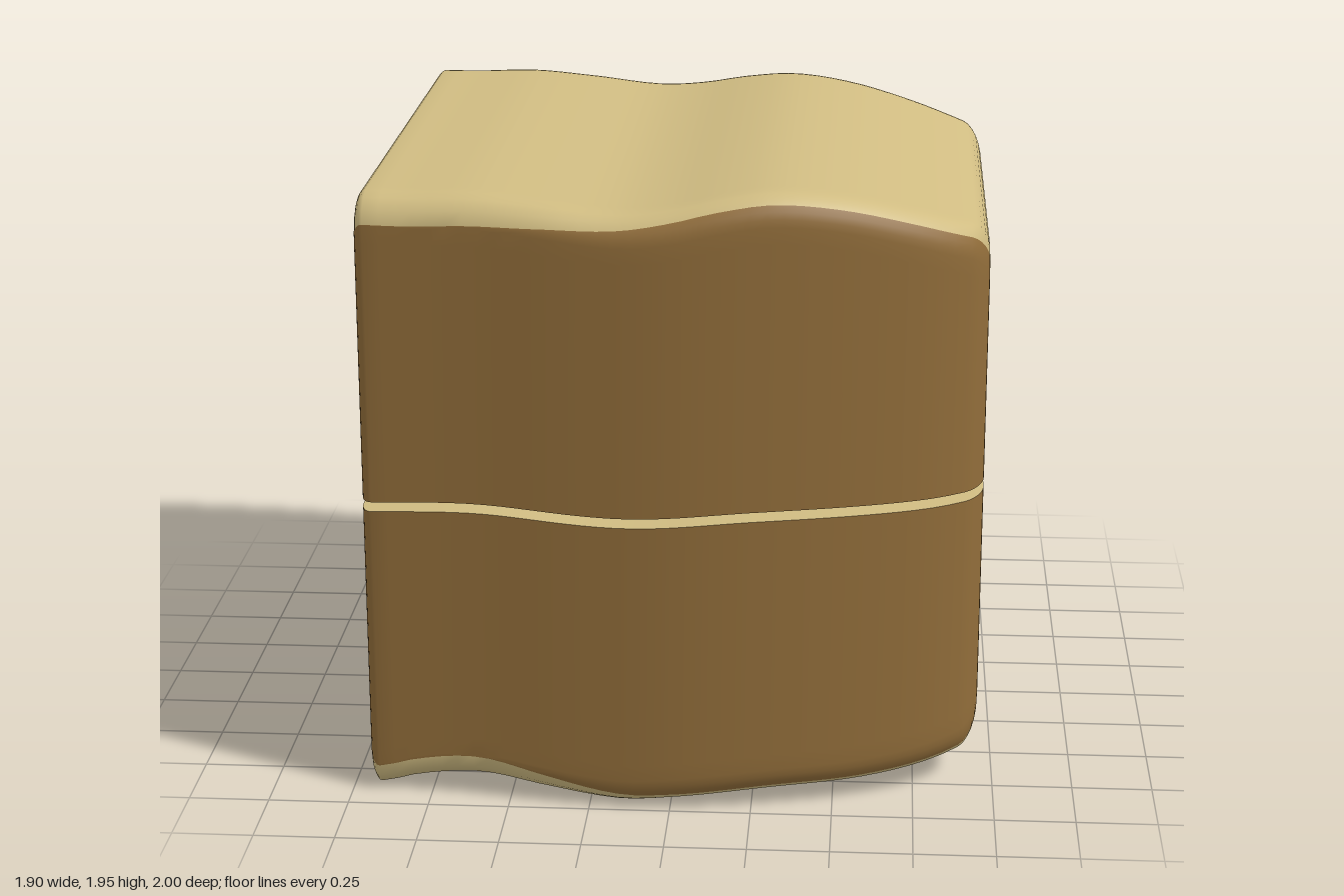
import * as THREE from 'three';
import { toCreasedNormals } from 'three/addons/utils/BufferGeometryUtils.js';

// Smooth curve of a value along x, from [x, value] pairs
function along(pairs) {
  const curve = new THREE.CubicInterpolant(pairs.map(p => p[0]), pairs.map(p => p[1]), 1);
  return x => curve.evaluate(x)[0];
}

// Wavy outlines of the block
const top = along([[-0.95, 1.915], [-0.8, 1.915], [-0.6, 1.922], [-0.4, 1.907], [-0.15, 1.885], [0, 1.9],
  [0.15, 1.932], [0.3, 1.95], [0.5, 1.927], [0.7, 1.873], [0.85, 1.82], [0.95, 1.78]]);
const bottom = along([[-0.95, 0], [-0.9, 0.006], [-0.8, 0.035], [-0.6, 0.06], [-0.4, 0.035], [-0.15, 0.007],
  [0, 0.018], [0.3, 0.045], [0.6, 0.057], [0.8, 0.08], [0.95, 0.11]]);
const front = along([[-0.95, 0.9], [-0.6, 0.937], [-0.3, 0.98], [0, 1], [0.3, 0.967], [0.6, 0.89],
  [0.8, 0.805], [0.9, 0.735], [0.95, 0.69]]);
const back = along([[-0.95, -1], [-0.5, -0.986], [-0.2, -0.967], [0, -0.93], [0.25, -0.865], [0.5, -0.84],
  [0.8, -0.812], [0.95, -0.795]]);
const crack = along([[-0.95, 0.945], [-0.6, 0.96], [-0.15, 0.943], [0.25, 0.965], [0.95, 0.963]]);

const RADIUS = 0.09;

// Cross-section at x as [z, y] points: crack tip, lower lip, round the block, upper lip
function section(x, inset) {
  const t = top(x) - inset, b = bottom(x) + inset, f = front(x) - inset, k = back(x) + inset;
  const c = crack(x), R = RADIUS;
  const split = 0.08 + 0.67 * THREE.MathUtils.smoothstep(x, -0.7, 0.1); // where bark ends on the corner
  const angles = [0, 1, 2].map(i => split * i / 3)
    .concat([0, 1, 2, 3].map(i => split + (Math.PI / 2 - split) * i / 3));
  const pts = [[0, c], [f, c - 0.015], [f, b + R + 0.05]];
  for (const a of angles) pts.push([f - R + R * Math.cos(a), b + R - R * Math.sin(a)]);
  pts.push([f - R - 0.05, b], [(f + k) / 2, b], [k + R + 0.05, b]);
  for (let i = 0; i <= 6; i++) {
    const a = i * Math.PI / 12;
    pts.push([k + R - R * Math.sin(a), b + R - R * Math.cos(a)]);
  }
  pts.push([k, b + R + 0.05], [k, (t + b) / 2], [k, t - R - 0.05]);
  for (let i = 0; i <= 6; i++) {
    const a = i * Math.PI / 12;
    pts.push([k + R - R * Math.cos(a), t - R + R * Math.sin(a)]);
  }
  pts.push([k + R + 0.05, t], [(f + k) / 2, t], [f - R - 0.05, t]);
  for (const a of [...angles].reverse()) pts.push([f - R + R * Math.cos(a), t - R + R * Math.sin(a)]);
  pts.push([f, t - R - 0.05], [f, c + 0.015]);
  return pts;
}

function blockGeometry() {
  const rings = [];
  const add = (x, inset, scale = 1) => {
    const pts = section(x, inset), [z0, y0] = pts[0];
    rings.push(pts.map(([z, y]) => [x, y0 + (y - y0) * scale, z0 + (z - z0) * scale]));
  };

  // Left end rounding, body, right end rounding; the scaled rings lie on the flat ends
  const steps = 6, body = 36;
  add(-0.95, 0.075, 0.94);
  for (let i = 0; i < steps; i++) {
    const a = i / steps * Math.PI / 2;
    add(-0.95 + 0.035 * (1 - Math.cos(a)), 0.075 * (1 - Math.sin(a)));
  }
  for (let i = 0; i <= body; i++) add(-0.915 + 1.805 * i / body, 0);
  for (let i = steps - 1; i >= 0; i--) {
    const a = i / steps * Math.PI / 2;
    add(0.95 - 0.06 * (1 - Math.cos(a)), 0.09 * (1 - Math.sin(a)));
  }
  add(0.95, 0.09, 0.94);

  const n = rings[0].length, last = rings.length - 1;
  const bark = [], wood = [];
  for (let i = 0; i < last; i++) {
    for (let j = 0; j < n; j++) {
      const side = Math.min(j, n - 1 - j);
      const isBark = side >= 1 && side <= 5 && i > 0 && i < last - 1;
      const a = i * n + j, b = i * n + (j + 1) % n;
      (isBark ? bark : wood).push(a, b, a + n, b, b + n, a + n);
    }
  }
  // Flat ends fan out from the crack tip
  for (let j = 1; j < n - 1; j++) {
    wood.push(0, j + 1, j);
    wood.push(last * n, last * n + j, last * n + j + 1);
  }

  const geometry = new THREE.BufferGeometry();
  geometry.setAttribute('position', new THREE.Float32BufferAttribute(rings.flat(2), 3));
  geometry.setIndex([...bark, ...wood]);
  geometry.addGroup(0, bark.length, 0);
  geometry.addGroup(bark.length, wood.length, 1);
  return toCreasedNormals(geometry, 0.7);
}

export function createModel() {
  const barkBrown = new THREE.MeshStandardMaterial({ color: 0x916d3a });
  barkBrown.name = 'barkBrown';
  const paleWood = new THREE.MeshStandardMaterial({ color: 0xd0bc82 });
  paleWood.name = 'paleWood';

  const group = new THREE.Group();
  group.name = 'woodBlock';
  const block = new THREE.Mesh(blockGeometry(), [barkBrown, paleWood]);
  block.name = 'crackedBlock';
  group.add(block);
  return group;
}
